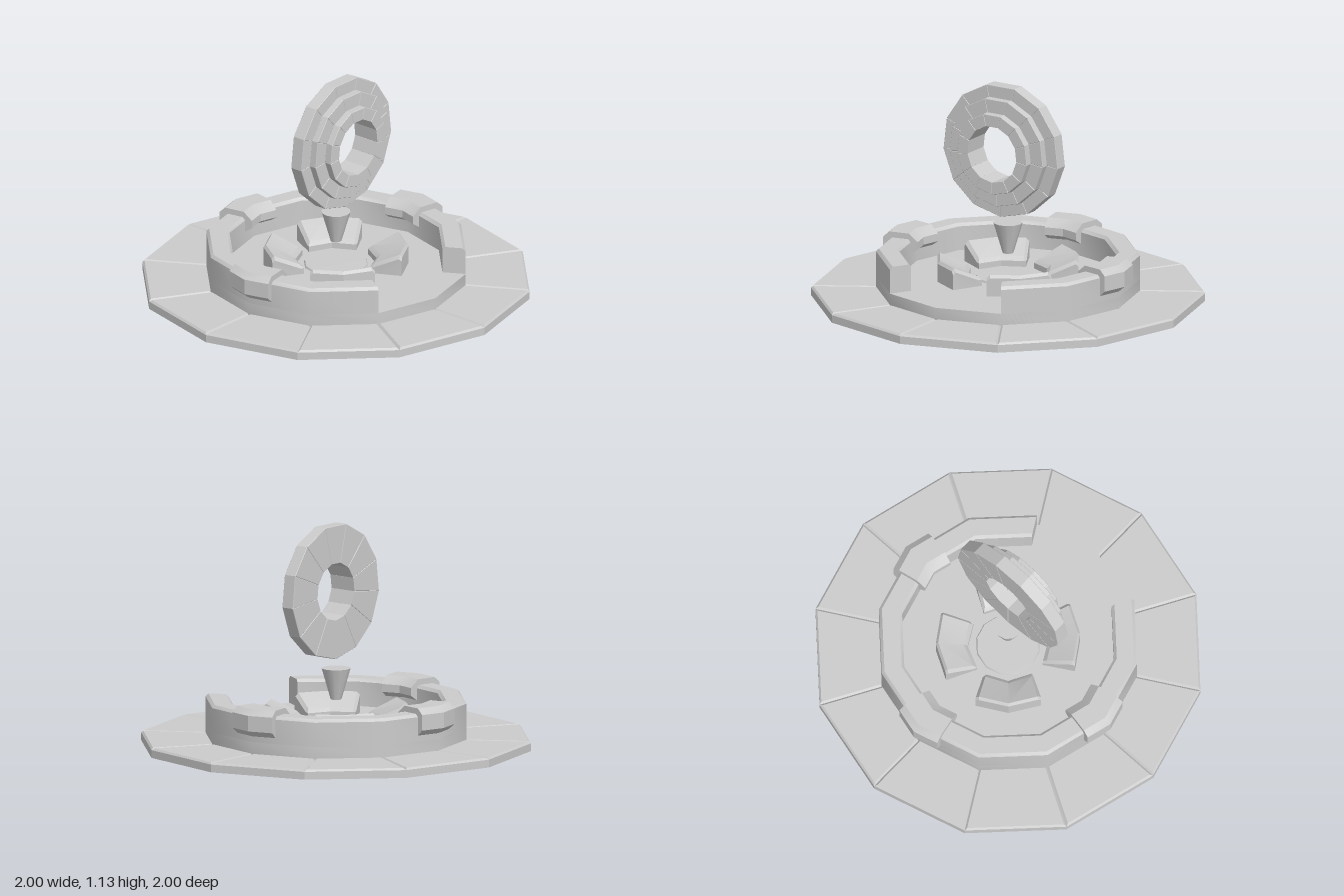
import * as THREE from 'three';
import { toCreasedNormals } from 'three/addons/utils/BufferGeometryUtils.js';

const rad = THREE.MathUtils.degToRad;
const grey = new THREE.MeshStandardMaterial({ color: 0xcccccc });
const greyShell = new THREE.MeshStandardMaterial({ color: 0xcccccc, side: THREE.DoubleSide });
const polar = (r, y, deg) => new THREE.Vector3(r * Math.cos(rad(deg)), y, r * Math.sin(rad(deg)));

// Closed solid through convex loops of equal length, capped at both ends
function loft(loops, crease = 20) {
  const n = loops[0].length, tris = [];
  for (let i = 0; i < loops.length - 1; i++) {
    for (let j = 0; j < n; j++) {
      const k = (j + 1) % n;
      const a = loops[i][j], b = loops[i][k], c = loops[i + 1][k], d = loops[i + 1][j];
      tris.push([a, b, c], [a, c, d]);
    }
  }
  const first = loops[0], last = loops[loops.length - 1];
  for (let j = 1; j < n - 1; j++) {
    tris.push([first[0], first[j + 1], first[j]], [last[0], last[j], last[j + 1]]);
  }
  // Signed volume tells whether the faces point outward
  const cross = new THREE.Vector3();
  const volume = tris.reduce((s, [a, b, c]) => s + a.dot(cross.crossVectors(b, c)), 0);
  if (volume < 0) tris.forEach((t) => t.reverse());
  const geo = new THREE.BufferGeometry().setFromPoints(tris.flat());
  return toCreasedNormals(geo, rad(crease));
}

// Profile of [radius, height] carried round the y axis; stops are [angle, radius scale]
function sweep(profile, stops, crease) {
  return loft(stops.map(([deg, s]) => profile.map(([r, y]) => polar(r * s, y, deg))), crease);
}

// Point on a ring sector, moved in from its side (-1 or 1) by an inset
function sectorPoint(r, y, side, inset, a0, a1) {
  const half = rad((a1 - a0) / 2);
  const x = r * Math.cos(half);
  const z = side * (r * Math.sin(half) - inset / Math.cos(half));
  return new THREE.Vector3(x, y, z).applyAxisAngle(new THREE.Vector3(0, 1, 0), -rad((a0 + a1) / 2));
}

// Straight-sided solid ring sector with bevelled edges
function wedge(r0, r1, a0, a1, y0, y1, bevel) {
  const loop = (y, inset) => [[r0, -1], [r1 - inset, -1], [r1 - inset, 1], [r0, 1]]
    .map(([r, side]) => sectorPoint(r, y, side, inset, a0, a1));
  return loft([loop(y0, bevel), loop(y0 + bevel, 0), loop(y1 - bevel, 0), loop(y1, bevel)]);
}

// Thin slab, open underneath: top, bevels and outer rim
function slabShell(r0, r1, a0, a1, height, bevel) {
  const at = (r, y, side, inset) => sectorPoint(r, y, side, inset, a0, a1);
  const edge = (side) => ({
    foot: at(r1, 0, side, 0),
    rim: at(r1, height - bevel, side, 0),
    inner: at(r0, height - bevel, side, 0),
    topOuter: at(r1 - bevel, height, side, bevel),
    topInner: at(r0, height, side, bevel),
  });
  const p = edge(-1), q = edge(1);
  const quads = [
    [p.topInner, q.topInner, q.topOuter, p.topOuter],
    [p.topOuter, q.topOuter, q.rim, p.rim],
    [p.rim, q.rim, q.foot, p.foot],
    [p.inner, p.topInner, p.topOuter, p.rim],
    [q.topInner, q.inner, q.rim, q.topOuter],
  ];
  const points = quads.flatMap(([a, b, c, d]) => [a, b, c, a, c, d]);
  const geo = new THREE.BufferGeometry().setFromPoints(points);
  geo.computeVertexNormals();
  return geo;
}

// Bent block whose ends splay inward, with bevelled ends and a top sloping to the centre
function bentBlock(mid) {
  const profile = (drop) => [
    [0.205, 0.1], [0.205, 0.14], [0.225, 0.16 - drop],
    [0.355, 0.22 - drop], [0.367, 0.205 - drop], [0.367, 0.1],
  ];
  const loop = (side, drop) => profile(drop).map(([r, y]) => {
    const spread = THREE.MathUtils.mapLinear(r, 0.205, 0.367, 36, 27);
    return polar(r, y, mid + side * spread);
  });
  const centre = loop(0, 0);
  const near = (side) => loop(side, 0).map((p, i) => p.lerp(centre[i], 0.1));
  return loft([loop(-1, 0.018), near(-1), centre, near(1), loop(1, 0.018)]);
}

function add(parent, name, geo, material = grey) {
  const mesh = new THREE.Mesh(geo, material);
  mesh.name = name;
  parent.add(mesh);
  return mesh;
}

function addGroup(parent, name) {
  const group = new THREE.Group();
  group.name = name;
  parent.add(group);
  return group;
}

export function createModel() {
  const model = new THREE.Group();
  model.name = 'ringPedestal';

  // Twelve paving slabs forming the hollow base
  const base = addGroup(model, 'base');
  for (let i = 0; i < 12; i++) {
    add(base, 'baseSlab', slabShell(0.275, 1, i * 30, i * 30 + 30, 0.05, 0.01), greyShell);
  }

  // Raised floor, open underneath, with a low central disc
  const floorProfile = [[0.67, 0.045], [0.67, 0.11], [0.165, 0.11], [0.16, 0.12], [0, 0.122]]
    .map(([r, y]) => new THREE.Vector2(r, y));
  add(model, 'floor', toCreasedNormals(new THREE.LatheGeometry(floorProfile, 12), rad(35)), greyShell);

  // Surrounding wall, open at the front
  const wallStops = [];
  for (let a = 120; a <= 420; a += 30) wallStops.push([a, 1]);
  add(model, 'wall', sweep([
    [0.67, 0.055], [0.67, 0.235], [0.655, 0.25], [0.565, 0.25], [0.55, 0.235], [0.55, 0.055],
  ], wallStops, 35));

  // Chevron caps over the wall at the sides and back
  const capProfile = [
    [0.51, 0.2], [0.51, 0.24], [0.56, 0.28], [0.67, 0.28],
    [0.705, 0.25], [0.705, 0.17], [0.67, 0.14], [0.6, 0.14],
  ];
  for (const a of [0, 180, 270]) {
    add(model, 'wallCap', sweep(capProfile, [[a - 11, 0.968], [a, 1], [a + 11, 0.968]]));
  }

  // Four bent blocks around the centre
  for (const mid of [47, 133, 227, 313]) add(model, 'innerBlock', bentBlock(mid));

  // Floating tapered peg
  const peg = add(model, 'peg',
    toCreasedNormals(new THREE.CylinderGeometry(0.075, 0.028, 0.16, 12), rad(35)));
  peg.position.y = 0.32;

  // Upright ring of thirteen segments, a corner at the bottom, stepped toward the front
  const ring = addGroup(model, 'steppedRing');
  const tiers = [[0.348, 0, 0.07], [0.284, 0.07, 0.11], [0.2125, 0.11, 0.15]];
  const step = 360 / 13;
  for (const [radius, z0, z1] of tiers) {
    for (let i = 0; i < 13; i++) {
      const a = 90 + i * step;
      add(ring, 'ringSegment', wedge(0.149, radius, a, a + step, z0, z1, 0.002));
    }
  }
  ring.rotation.x = Math.PI / 2;
  ring.position.y = 0.7925;

  return model;
}
